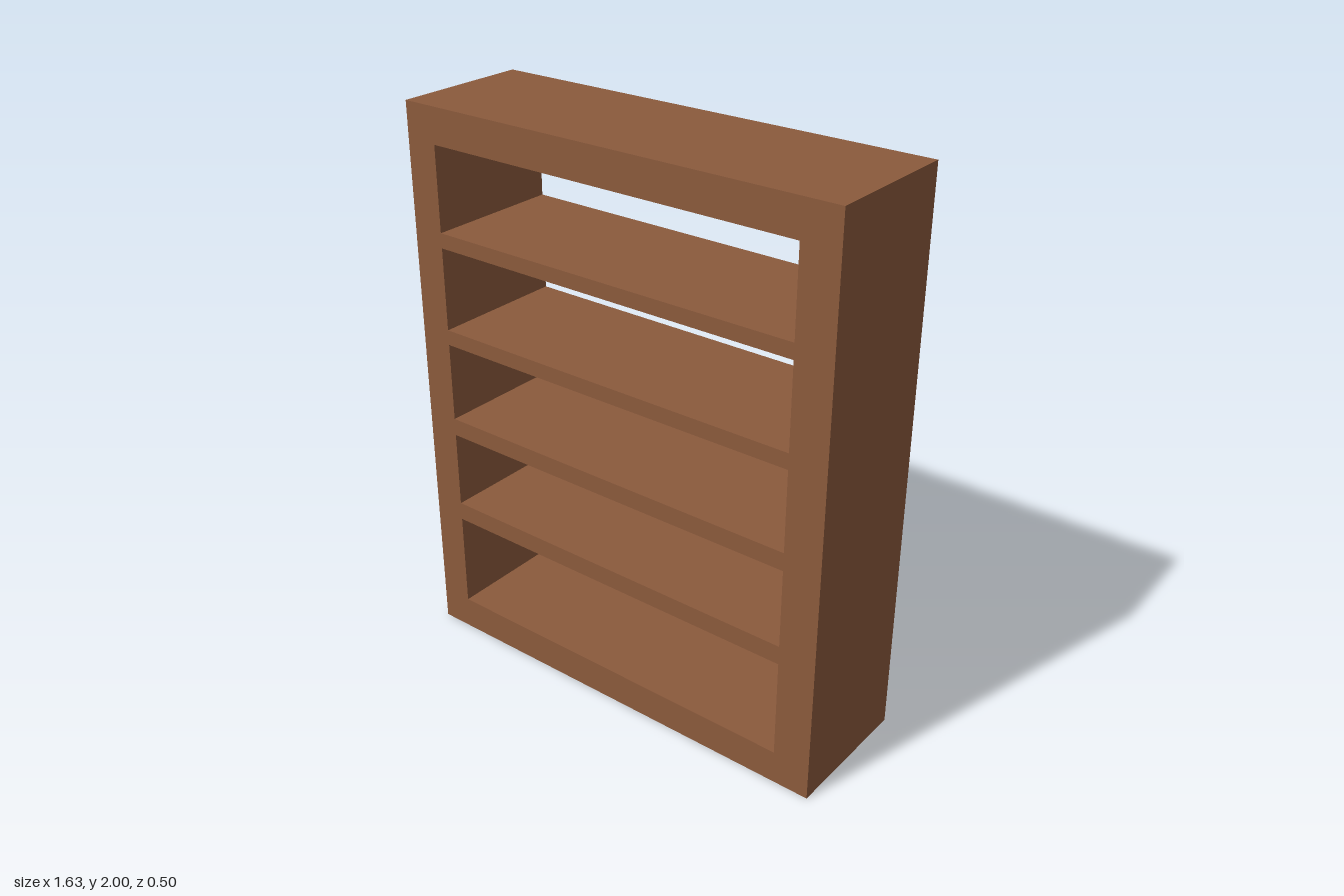
import * as THREE from 'three';

const WIDTH = 1.635, HEIGHT = 2, DEPTH = 0.495;
const LEFT = -0.70, RIGHT = 0.685; // inner faces of the side walls

// Bottom and top height of each compartment, lowest first
const COMPARTMENTS = [
  [0.12, 0.475],
  [0.542, 0.823],
  [0.887, 1.173],
  [1.228, 1.524],
  [1.577, 1.875],
];

// Rectangle outline added to a Shape or Path
function rectangle(path, x0, y0, x1, y1) {
  path.moveTo(x0, y0);
  path.lineTo(x1, y0);
  path.lineTo(x1, y1);
  path.lineTo(x0, y1);
  path.closePath();
  return path;
}

export function createModel() {
  const wood = new THREE.MeshStandardMaterial({ color: 0x8b5a3c });
  wood.name = 'brown wood';

  // Open-backed case: walls and flush shelves cut from one solid slab
  const outline = rectangle(new THREE.Shape(), -WIDTH / 2, 0, WIDTH / 2, HEIGHT);
  for (const [bottom, top] of COMPARTMENTS) {
    outline.holes.push(rectangle(new THREE.Path(), LEFT, bottom, RIGHT, top));
  }
  const geometry = new THREE.ExtrudeGeometry(outline, { depth: DEPTH, bevelEnabled: false });
  geometry.translate(0, 0, -DEPTH / 2);

  const bookcase = new THREE.Mesh(geometry, wood);
  bookcase.name = 'bookcaseFrameAndShelves';

  const model = new THREE.Group();
  model.name = 'bookcase';
  model.add(bookcase);
  return model;
}
